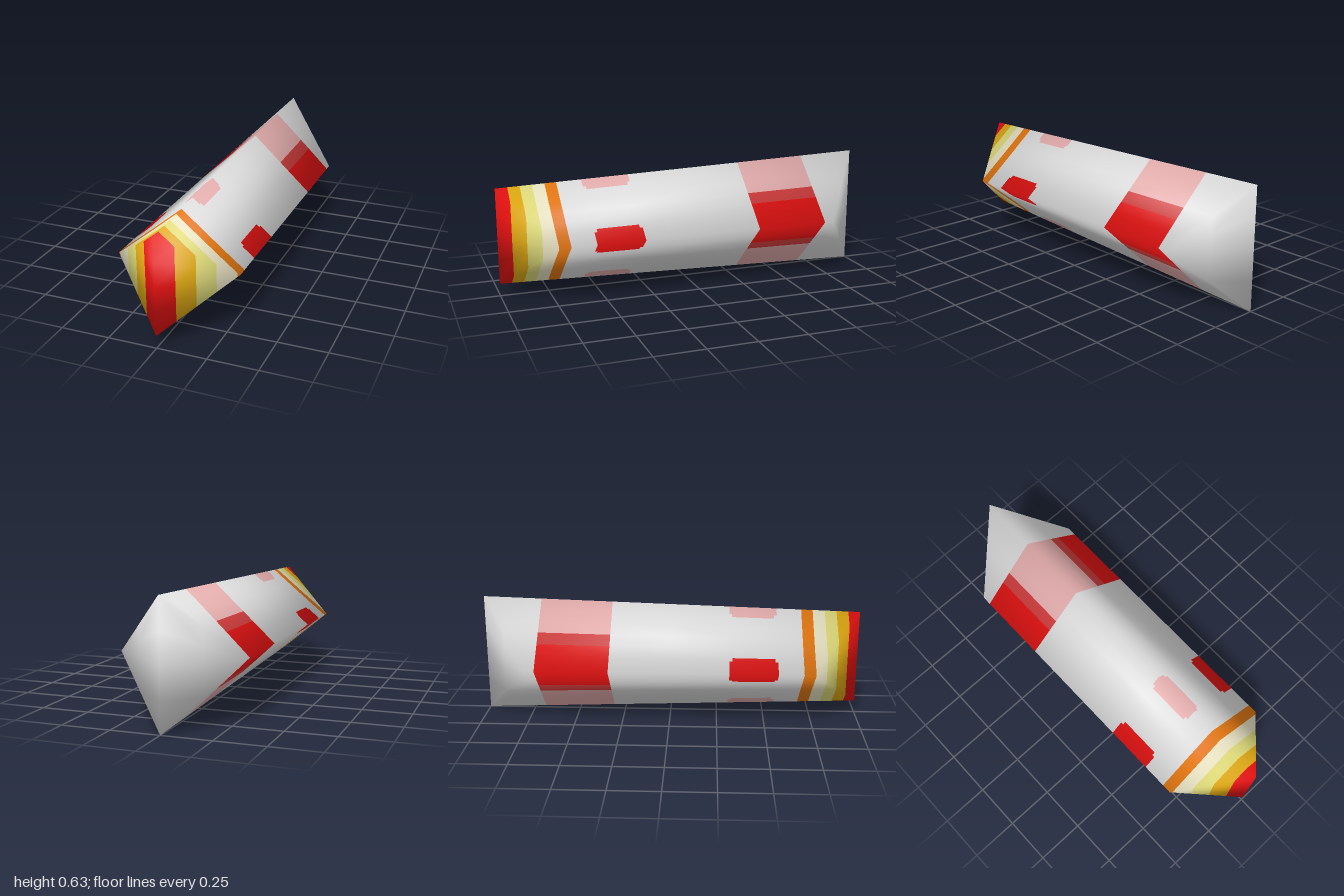
import * as THREE from 'three';

const HALF = 0.315;   // half width, also the height of the centre line
const TAPER = 0.26;   // how far each pointed end runs back to the side edges

const mat = (name, color) => {
  const m = new THREE.MeshStandardMaterial({ color });
  m.name = name;
  return m;
};

// A point on the upper (sy = 1) or lower (sy = -1) slopes, with its soft normal
function surface(x, z, sx, sy) {
  const s = x / HALF;
  const t = z / (1 - TAPER * s);
  const h = (1 - s) * (0.2825 - 0.0325 * t);
  return {
    p: new THREE.Vector3(sx * x, HALF + sy * h, z),
    n: new THREE.Vector3(sx * 0.97 * s, sy * 0.78 * (1 - s), t * (0.62 * (1 - s) + 0.24 * s)).normalize(),
  };
}

// Half width of the hull at a given z
const widthAt = (z) => Math.min(HALF, Math.max(0, HALF * (1 - Math.abs(z)) / TAPER));

// Which painted part covers a place on the hull
function partAt(x, z) {
  if (z > 0.938) return 'noseTip';
  if (z > 0.876) return 'goldBand';
  if (z > 0.814) return 'yellowBand';
  if (z > 0.75) return 'creamBand';
  if (z > 0.69) return 'orangeBand';
  if (z > 0.31 && z < 0.56) {
    const inset = z < 0.325 || z > 0.545 ? 0.015 : 0; // clipped patch corners
    if (x < 0.05 - inset) return 'ridgePatches';
    if (x > 0.24 + inset) return 'sidePatches';
  }
  if (z > -0.69 && z < -0.31) {
    if (x < 0.15) return 'rearRidgePanels';
    return x < 0.2 ? 'rearPanelBorders' : 'rearSidePanels';
  }
  return 'hull';
}

export function createModel() {
  const red = mat('red', 0xe01010);
  const pink = mat('pale pink', 0xe0aaaa);
  const materials = {
    hull: mat('light grey', 0xd9d8d8),
    noseTip: red,
    goldBand: mat('gold', 0xdba512),
    yellowBand: mat('pale yellow', 0xdcd778),
    creamBand: mat('cream', 0xe6e0c0),
    orangeBand: mat('orange', 0xe07510),
    ridgePatches: pink,
    sidePatches: red,
    rearRidgePanels: pink,
    rearPanelBorders: mat('soft red', 0xcc3a3a),
    rearSidePanels: red,
  };
  const data = {};
  for (const name in materials) data[name] = { position: [], normal: [] };

  // Adds a triangle, turned to face the way its normals point
  function tri(part, a, b, c) {
    const face = b.p.clone().sub(a.p).cross(c.p.clone().sub(a.p));
    if (face.length() < 1e-8) return;
    const out = a.n.clone().add(b.n).add(c.n);
    const corners = face.dot(out) > 0 ? [a, b, c] : [a, c, b];
    for (const v of corners) {
      data[part].position.push(...v.p.toArray());
      data[part].normal.push(...v.n.toArray());
    }
  }
  const quad = (part, a, b, c, d) => {
    tri(part, a, b, c);
    tri(part, a, c, d);
  };

  const zs = [-1, -0.87, -0.74, -0.69, -0.5, -0.31, 0, 0.31, 0.325, 0.545, 0.56,
    0.69, 0.74, 0.75, 0.814, 0.876, 0.938, 1];
  const xs = [0, 0.035, 0.05, 0.1, 0.15, 0.2, 0.24, 0.255, HALF];

  for (let i = 0; i < zs.length - 1; i++) {
    const z0 = zs[i], z1 = zs[i + 1], zm = (z0 + z1) / 2;
    const w0 = widthAt(z0), w1 = widthAt(z1);
    for (const sx of [-1, 1]) {
      // Four long sloping sides
      for (const sy of [-1, 1]) {
        for (let j = 0; j < xs.length - 1; j++) {
          const at = (x, z, w) => surface(Math.min(x, w), z, sx, sy);
          quad(partAt((xs[j] + xs[j + 1]) / 2, zm),
            at(xs[j], z0, w0), at(xs[j + 1], z0, w0), at(xs[j + 1], z1, w1), at(xs[j], z1, w1));
        }
      }
      // Upright wedge faces at the nose and tail
      if (Math.abs(zm) > 1 - TAPER) {
        const rows = 4;
        const wall = (w, z, k) => {
          const top = surface(w, z, sx, 1), low = surface(w, z, sx, -1);
          return { p: top.p.lerp(low.p, k / rows), n: top.n.lerp(low.n, k / rows).normalize() };
        };
        for (let k = 0; k < rows; k++) {
          quad(partAt(HALF, zm), wall(w0, z0, k), wall(w1, z1, k), wall(w1, z1, k + 1), wall(w0, z0, k + 1));
        }
      }
    }
  }

  // One mesh for each painted part
  const group = new THREE.Group();
  group.name = 'diamondHull';
  for (const name in data) {
    const geo = new THREE.BufferGeometry();
    geo.setAttribute('position', new THREE.Float32BufferAttribute(data[name].position, 3));
    geo.setAttribute('normal', new THREE.Float32BufferAttribute(data[name].normal, 3));
    const mesh = new THREE.Mesh(geo, materials[name]);
    mesh.name = name;
    group.add(mesh);
  }
  return group;
}
